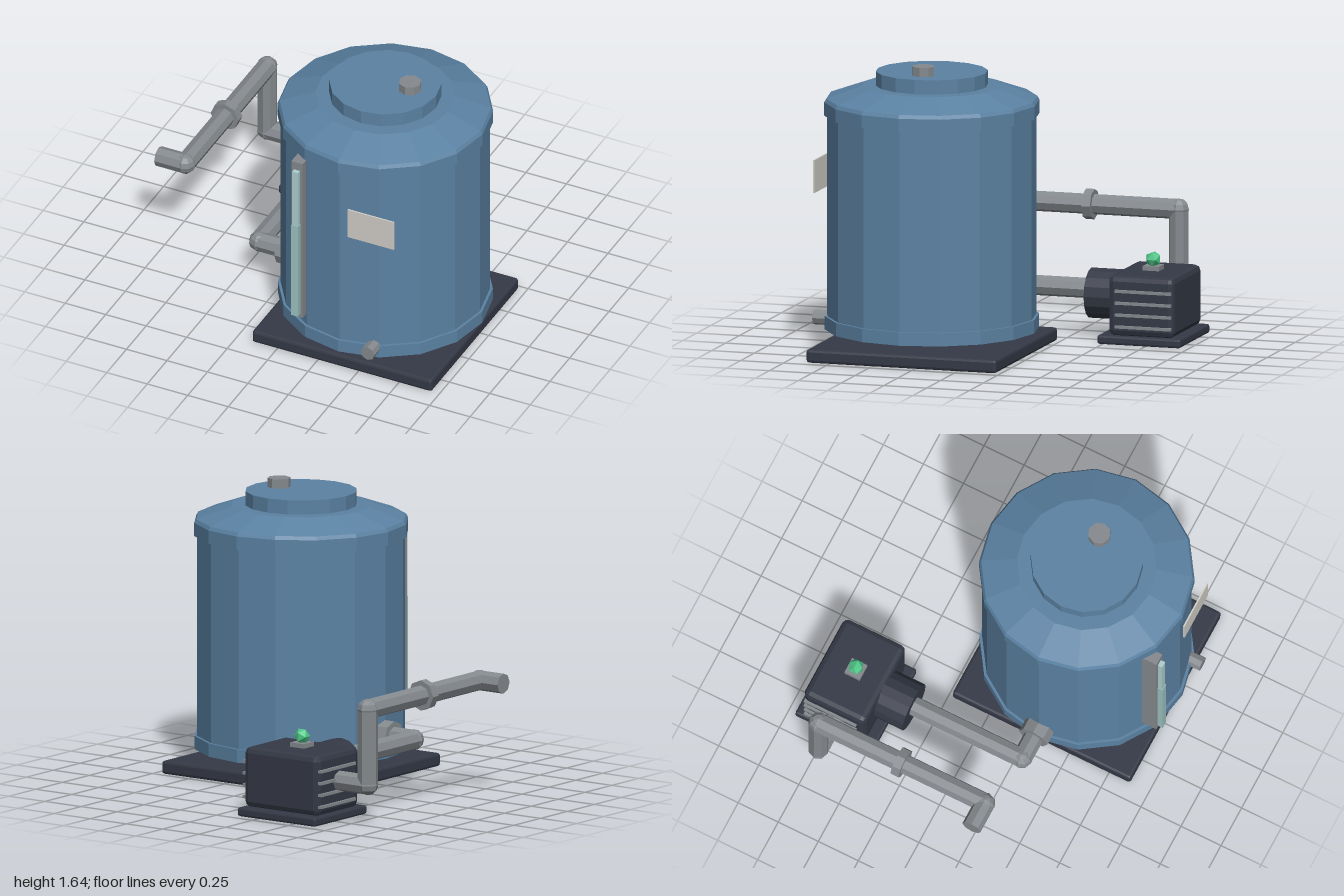
import * as THREE from 'three';
import { RoundedBoxGeometry } from 'three/addons/geometries/RoundedBoxGeometry.js';

const mat = (name, color) => {
  const m = new THREE.MeshStandardMaterial({ color });
  m.name = name;
  return m;
};

export function createModel() {
  const model = new THREE.Group();
  model.name = 'tankAndPump';

  const blue = mat('tankBlue', 0x5b82a3);
  const dark = mat('darkMetal', 0x343946);
  const grey = mat('pipeGrey', 0x858a8e);
  const glass = mat('gaugeGlass', 0xaccfce);
  const liquid = mat('gaugeLiquid', 0x9cc2c0);
  const green = mat('lampGreen', 0x4cc585);
  const pale = mat('platePale', 0xd2cfc8);

  // Adds a faceted mesh
  function add(name, geometry, material, x = 0, y = 0, z = 0, parent = model) {
    const g = geometry.index ? geometry.toNonIndexed() : geometry;
    g.computeVertexNormals();
    const mesh = new THREE.Mesh(g, material);
    mesh.name = name;
    mesh.position.set(x, y, z);
    parent.add(mesh);
    return mesh;
  }
  const box = (w, h, d) => new THREE.BoxGeometry(w, h, d);
  const chamferBox = (w, h, d, r) => new RoundedBoxGeometry(w, h, d, 1, r);

  // Cylinder between two points
  function rod(name, a, b, r, material, sides = 8, parent = model) {
    const from = new THREE.Vector3(...a), to = new THREE.Vector3(...b);
    const dir = to.clone().sub(from);
    const mid = from.clone().add(to).multiplyScalar(0.5);
    const mesh = add(name, new THREE.CylinderGeometry(r, r, dir.length(), sides),
      material, mid.x, mid.y, mid.z, parent);
    mesh.quaternion.setFromUnitVectors(new THREE.Vector3(0, 1, 0), dir.normalize());
    return mesh;
  }

  // Pipe run with ball elbows at the inner corners
  function pipe(name, points, r) {
    const run = new THREE.Group();
    run.name = name;
    model.add(run);
    for (let i = 0; i < points.length - 1; i++) {
      rod('pipeSection', points[i], points[i + 1], r, grey, 8, run);
      if (i > 0) add('elbow', new THREE.SphereGeometry(r * 1.04, 8, 6), grey, ...points[i], run);
    }
  }

  // Tank: lower band, wall, upper band, sloped roof
  const TX = 0.4, TZ = 0.328;
  const profile = [[0, 0.135], [0.598, 0.135], [0.598, 0.21], [0.583, 0.21], [0.583, 1.34],
    [0.6, 1.34], [0.6, 1.415], [0.588, 1.435], [0.39, 1.505], [0, 1.505]]
    .map(([r, y]) => new THREE.Vector2(r, y));
  add('tankShell', new THREE.LatheGeometry(profile, 16), blue, TX, 0, TZ);
  add('hatchLid', new THREE.CylinderGeometry(0.312, 0.312, 0.085, 16), blue, TX, 1.5425, TZ);
  add('ventCap', new THREE.CylinderGeometry(0.064, 0.064, 0.06, 8), grey, 0.553, 1.607, TZ);
  add('tankBase', chamferBox(1.11, 0.075, 1.11, 0.015), dark, TX, 0.0375, TZ);

  // Level gauge
  add('gaugeBacking', box(0.07, 1.045, 0.09), grey, 0.14, 0.8075, 0.87);
  add('gaugeGlass', box(0.036, 0.36, 0.04), glass, 0.14, 1.1, 0.922);
  add('gaugeLiquid', box(0.042, 0.61, 0.044), liquid, 0.14, 0.615, 0.924);

  // Name plate and drain
  add('namePlate', box(0.285, 0.185, 0.009), pale, 0.594, 1.012, 0.908);
  rod('drain', [0.593, 0.195, 0.82], [0.593, 0.195, 0.951], 0.042, grey);

  // Pump
  const PX = -0.38, PZ = -0.712;
  add('pumpBase', chamferBox(0.54, 0.05, 0.485, 0.012), dark, PX, 0.025, PZ);
  add('pumpBody', chamferBox(0.515, 0.34, 0.385, 0.032), dark, PX, 0.218, -0.72);
  rod('pumpHousing', [PX, 0.238, -0.56], [PX, 0.238, -0.35], 0.142, dark, 16);
  for (const side of [-1, 1]) {
    for (let i = 0; i < 4; i++) {
      add('coolingFin', box(0.03, 0.016, 0.325), grey,
        PX + side * 0.257, 0.102 + i * 0.067, -0.737);
    }
  }
  add('lampSeat', box(0.095, 0.026, 0.095), grey, PX, 0.4, PZ);
  add('lamp', new THREE.IcosahedronGeometry(0.046, 0), green, PX, 0.447, PZ);

  // Suction pipe from tank to pump
  pipe('suctionPipe', [[PX, 0.263, -0.36], [PX, 0.263, 0.325], [-0.15, 0.263, 0.325]], 0.057);
  rod('tankFlange', [-0.245, 0.263, 0.325], [-0.165, 0.263, 0.325], 0.088, grey);

  // Discharge pipe
  pipe('dischargePipe', [[-0.62, 0.225, PZ], [-0.835, 0.225, PZ], [-0.835, 0.652, PZ],
    [-0.835, 0.652, 0.328], [-1, 0.652, 0.328]], 0.057);
  rod('pipeCollar', [-0.835, 0.652, -0.22], [-0.835, 0.652, -0.17], 0.086, grey);

  return model;
}
